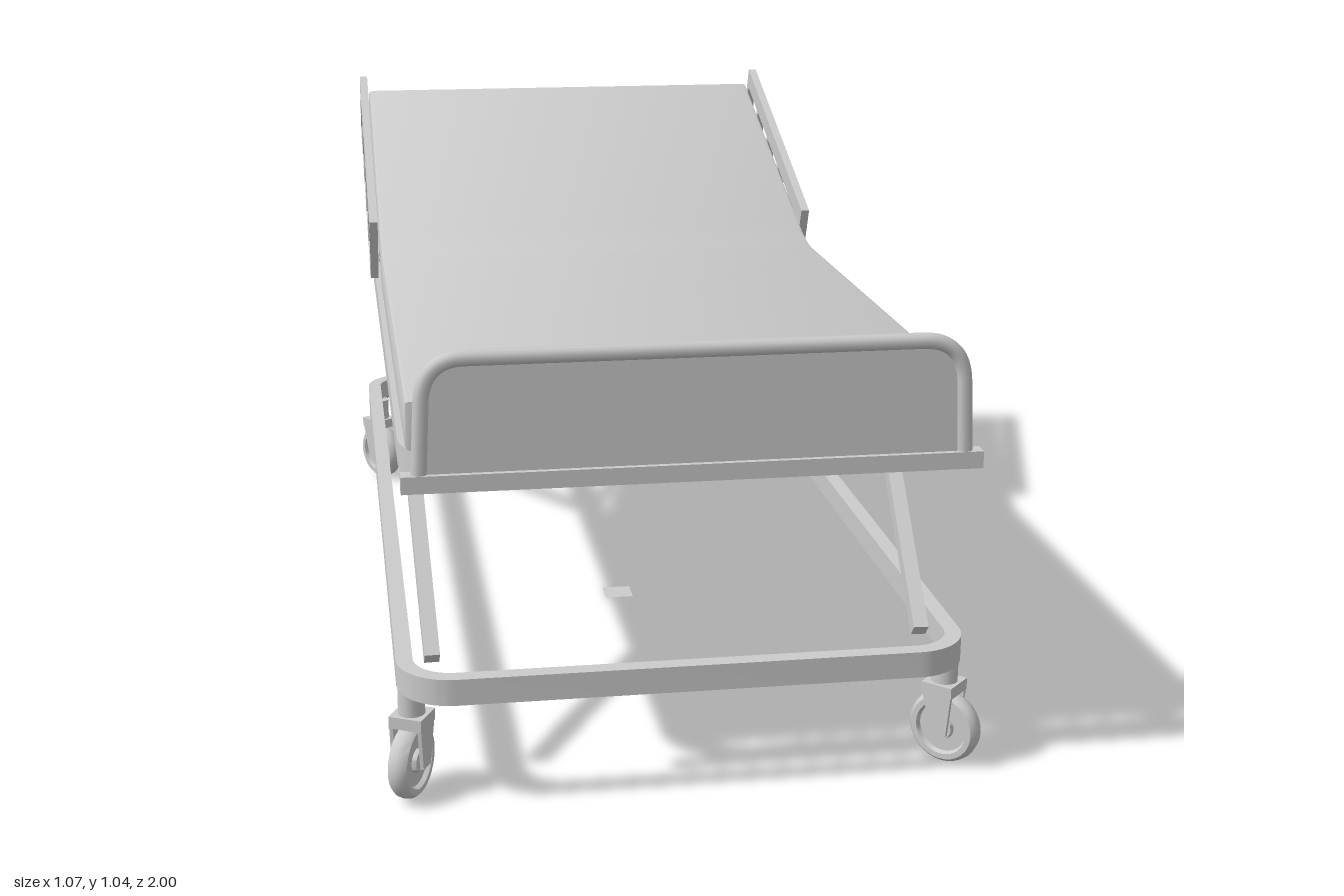
import * as THREE from 'three';
import { toCreasedNormals } from 'three/addons/utils/BufferGeometryUtils.js';

const CX = -0.01; // middle of the bed across its width
const grey = new THREE.MeshStandardMaterial({ color: 0xcccccc, side: THREE.DoubleSide });

function add(parent, name, geometry, x = 0, y = 0, z = 0) {
  const mesh = new THREE.Mesh(geometry, grey);
  mesh.name = name;
  mesh.position.set(x, y, z);
  parent.add(mesh);
  return mesh;
}

function roundedRect(w, h, r, Type = THREE.Shape) {
  const s = new Type();
  const a = w / 2 - r, b = h / 2 - r;
  s.absarc(a, b, r, 0, Math.PI / 2);
  s.absarc(-a, b, r, Math.PI / 2, Math.PI);
  s.absarc(-a, -b, r, Math.PI, Math.PI * 1.5);
  s.absarc(a, -b, r, Math.PI * 1.5, Math.PI * 2);
  s.closePath();
  return s;
}

function extrude(shape, depth, bevel = 0) {
  const geo = new THREE.ExtrudeGeometry(shape, {
    depth: depth - 2 * bevel, curveSegments: 10, bevelEnabled: bevel > 0,
    bevelThickness: bevel, bevelSize: bevel, bevelOffset: -bevel, bevelSegments: 2,
  });
  geo.translate(0, 0, -depth / 2 + bevel);
  return toCreasedNormals(geo, 0.6);
}

// Flat ring frame with rounded corners
function ringFrame(w, l, r, bar, height) {
  const s = roundedRect(w, l, r);
  s.holes.push(roundedRect(w - 2 * bar, l - 2 * bar, r - bar, THREE.Path));
  return extrude(s, height).rotateX(-Math.PI / 2);
}

// Square bar between two points
function bar(parent, name, from, to, w, d) {
  const a = new THREE.Vector3(...from), b = new THREE.Vector3(...to);
  const mesh = add(parent, name, new THREE.BoxGeometry(w, d, a.distanceTo(b)));
  mesh.position.copy(a).add(b).multiplyScalar(0.5);
  mesh.lookAt(b);
  return mesh;
}

// Side profile given as (-z, y), extruded across x
function acrossX(shape, width, bevel) {
  return extrude(shape, width, bevel).rotateY(Math.PI / 2);
}

function caster(name, x, z, yaw) {
  const g = new THREE.Group();
  g.name = name;
  g.position.set(x, 0, z);
  g.rotation.y = yaw;
  add(g, 'casterStem', new THREE.CylinderGeometry(0.024, 0.024, 0.06, 20), 0, 0.175, 0);
  add(g, 'forkCrown', new THREE.BoxGeometry(0.062, 0.022, 0.06), 0, 0.145, 0);
  // Fork cheeks taper down to the axle
  const cheek = new THREE.Shape([
    new THREE.Vector2(-0.03, 0.145), new THREE.Vector2(-0.022, 0.06),
    new THREE.Vector2(0.008, 0.06), new THREE.Vector2(0.03, 0.145),
  ]);
  for (const s of [-1, 1]) add(g, 'forkCheek', acrossX(cheek, 0.007), s * 0.027, 0, 0);
  // Wheel with a rounded tread and recessed faces
  const profile = [[0.001, 0.018], [0.02, 0.018], [0.022, 0.01], [0.046, 0.01], [0.05, 0.018],
    [0.06, 0.018], [0.066, 0.011], [0.068, 0]];
  const pts = [...profile, ...profile.slice(0, -1).reverse().map(([r, h]) => [r, -h])]
    .map(([r, h]) => new THREE.Vector2(r, h)).reverse();
  const wheel = toCreasedNormals(new THREE.LatheGeometry(pts, 32), 0.7).rotateZ(Math.PI / 2);
  add(g, 'wheel', wheel, 0, 0.068, 0.006);
  return g;
}

function sideRail(x) {
  const s = new THREE.Shape([[-0.33, -0.076], [0.33, -0.076], [0.33, 0.076], [-0.33, 0.076]]
    .map((p) => new THREE.Vector2(...p)));
  for (let i = 0; i < 5; i++) {
    const u = -0.317 + i * 0.129;
    s.holes.push(new THREE.Path([[u, -0.06], [u, 0.034], [u + 0.114, 0.034], [u + 0.114, -0.06]]
      .map((p) => new THREE.Vector2(...p))));
  }
  const geo = acrossX(s, 0.018);
  geo.rotateX(0.39);
  return geo.translate(x, 0.843, -0.66);
}

export function createModel() {
  const bed = new THREE.Group();
  bed.name = 'adjustableBed';

  // Base and mattress frames
  add(bed, 'baseFrame', ringFrame(1.018, 1.96, 0.1, 0.03, 0.048), CX, 0.224, -0.01);
  add(bed, 'mattressFrame', ringFrame(0.988, 1.96, 0.12, 0.03, 0.045), CX, 0.622, -0.01);

  // Casters, each swivelled differently
  bed.add(caster('frontLeftCaster', 0.47, 0.89, 0.79));
  bed.add(caster('frontRightCaster', -0.494, 0.89, -0.47));
  bed.add(caster('rearLeftCaster', 0.47, -0.91, -0.35));
  bed.add(caster('rearRightCaster', -0.494, -0.91, 0.6));

  // Slanted legs and backrest struts
  for (const s of [-1, 1]) {
    bar(bed, 'frontLeg', [CX + s * 0.444, 0.235, 0.845], [CX + s * 0.463, 0.615, 0.43], 0.027, 0.03);
    bar(bed, 'rearLeg', [CX + s * 0.444, 0.235, -0.92], [CX + s * 0.463, 0.615, -0.39], 0.027, 0.03);
    bar(bed, 'backrestStrut', [CX + s * 0.47, 0.62, -0.585], [CX + s * 0.47, 0.77, -0.54], 0.02, 0.025);
    add(bed, 'sideRail', sideRail(CX + s * 0.496));
  }

  // Mattress bent at the backrest hinge
  const m = new THREE.Shape();
  m.moveTo(-0.92, 0.645);
  m.lineTo(0.275, 0.645);
  m.lineTo(0.99, 0.917);
  m.lineTo(0.955, 1.0);
  m.lineTo(0.33, 0.763);
  m.quadraticCurveTo(0.25, 0.73, 0.19, 0.73);
  m.lineTo(-0.92, 0.73);
  m.closePath();
  add(bed, 'mattress', acrossX(m, 0.967, 0.008), CX, 0, 0);

  // Backrest board with an end lip
  bar(bed, 'backrestBoard', [CX, 0.648, -0.31], [CX, 0.908, -0.985], 0.955, 0.014);
  bar(bed, 'backrestLip', [CX, 0.876, -0.925], [CX, 0.906, -0.992], 0.967, 0.022);

  // Slats under the flat part
  for (let i = 0; i < 10; i++) {
    add(bed, 'slat', new THREE.BoxGeometry(0.93, 0.03, 0.062), CX, 0.63, 0.86 - i * 0.122);
  }

  // Footboard: bent tube, panel and lower bar
  const tube = new THREE.CurvePath();
  const v = (x, y) => new THREE.Vector3(CX + x, y, 0.985);
  tube.add(new THREE.LineCurve3(v(-0.465, 0.61), v(-0.458, 0.75)));
  tube.add(new THREE.QuadraticBezierCurve3(v(-0.458, 0.75), v(-0.453, 0.82), v(-0.385, 0.82)));
  tube.add(new THREE.LineCurve3(v(-0.385, 0.82), v(0.385, 0.82)));
  tube.add(new THREE.QuadraticBezierCurve3(v(0.385, 0.82), v(0.453, 0.82), v(0.458, 0.75)));
  tube.add(new THREE.LineCurve3(v(0.458, 0.75), v(0.465, 0.61)));
  add(bed, 'footboardTube', new THREE.TubeGeometry(tube, 120, 0.014, 10));
  add(bed, 'footboardPanel', extrude(roundedRect(0.91, 0.21, 0.05), 0.01), CX, 0.712, 0.985);
  add(bed, 'footboardPanelBase', new THREE.BoxGeometry(0.91, 0.06, 0.01), CX, 0.637, 0.985);
  add(bed, 'footboardBar', new THREE.BoxGeometry(0.99, 0.03, 0.03), CX, 0.61, 0.985);

  // Small thin plate on the floor at the centre
  add(bed, 'floorPlate', new THREE.PlaneGeometry(0.06, 0.06).rotateX(-Math.PI / 2), 0, 0.001, 0);
  return bed;
}
